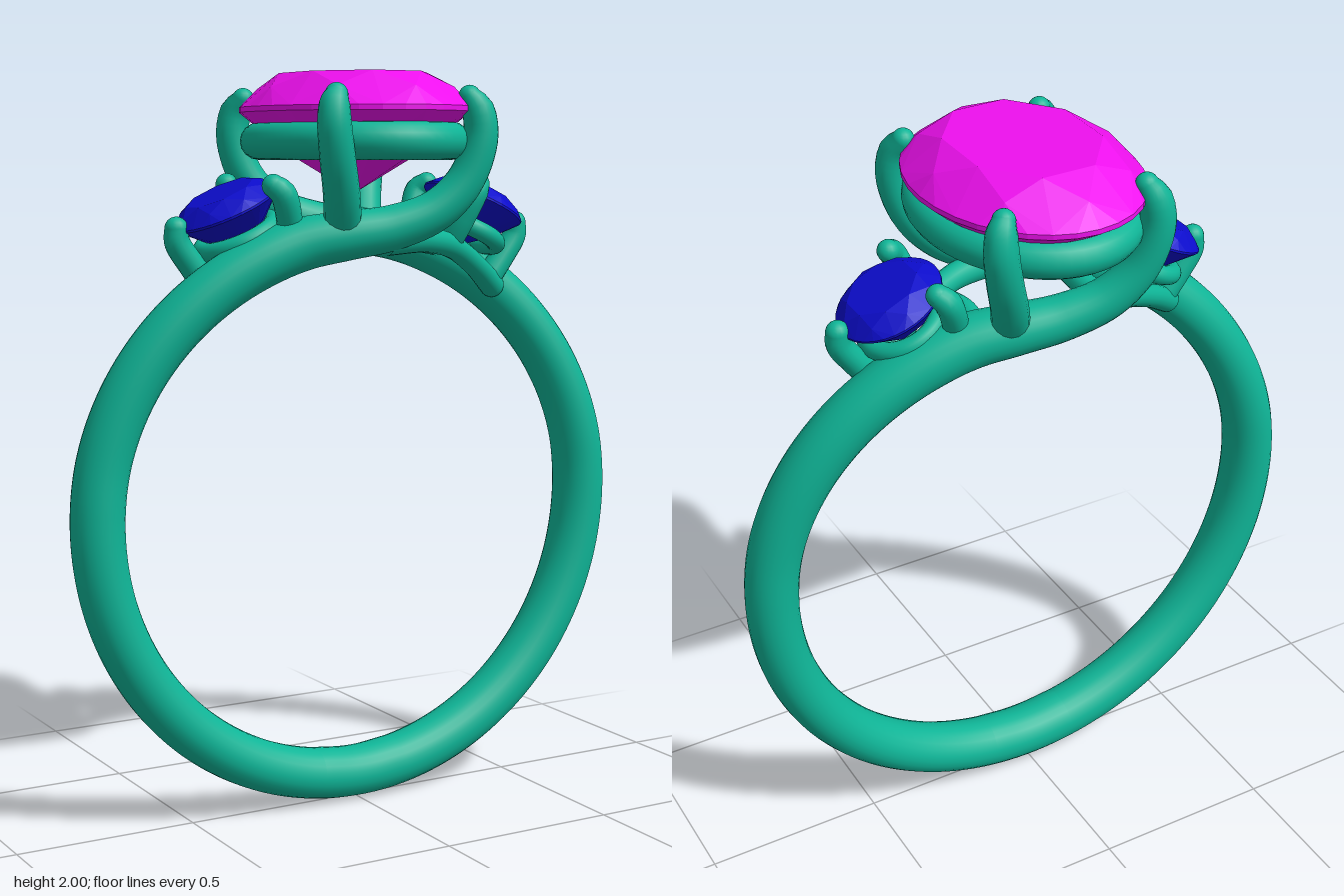
import * as THREE from 'three';
import { ConvexGeometry } from 'three/addons/geometries/ConvexGeometry.js';

const metal = new THREE.MeshStandardMaterial({ color: 0x0fb597 });
const pink = new THREE.MeshStandardMaterial({ color: 0xee10ee, flatShading: true });
const blue = new THREE.MeshStandardMaterial({ color: 0x0c0ccc, flatShading: true });

// Round wire through [x, y, z, radius] points, radius varying along its length
function wire(name, pts, { steps = 40, sides = 16, zScale = 1, closed = false } = {}) {
  const curve = new THREE.CatmullRomCurve3(pts.map(p => new THREE.Vector3(p[0], p[1], p[2])), closed);
  const geo = new THREE.TubeGeometry(curve, steps, 1, sides, closed);
  const pos = geo.attributes.position, v = new THREE.Vector3();
  const spans = closed ? pts.length : pts.length - 1;
  for (let i = 0; i <= steps; i++) {
    const u = i / steps, c = curve.getPointAt(u);
    const s = curve.getUtoTmapping(u) * spans, k = Math.min(Math.floor(s), spans - 1);
    const r = THREE.MathUtils.lerp(pts[k][3], pts[(k + 1) % pts.length][3], s - k);
    for (let j = 0; j <= sides; j++) {
      const n = i * (sides + 1) + j;
      v.fromBufferAttribute(pos, n).sub(c).multiplyScalar(r);
      v.z *= THREE.MathUtils.lerp(1, zScale, THREE.MathUtils.smoothstep(r, 0.055, 0.07));
      pos.setXYZ(n, c.x + v.x, c.y + v.y, c.z + v.z);
    }
  }
  const mesh = new THREE.Mesh(geo, metal);
  mesh.name = name;
  // rounded end
  if (!closed) {
    const [x, y, z, r] = pts[pts.length - 1];
    const tip = new THREE.Mesh(new THREE.SphereGeometry(r, 16, 12), metal);
    tip.name = name + 'Tip';
    tip.position.set(x, y, z);
    mesh.add(tip);
  }
  return mesh;
}

// Flat elliptical rail
function rail(name, rx, rz, r) {
  const pts = [];
  for (let i = 0; i < 24; i++) {
    const a = i * Math.PI / 12;
    pts.push([rx * Math.cos(a), 0, rz * Math.sin(a), r]);
  }
  return wire(name, pts, { steps: 64, closed: true });
}

// Brilliant-cut stone with its girdle at y = 0
function gem(name, rx, rz, crown, depth, material) {
  const pts = [];
  const ring = (n, r, y, turn) => {
    for (let i = 0; i < n; i++) {
      const a = (i + turn) * 2 * Math.PI / n;
      pts.push(new THREE.Vector3(rx * r * Math.cos(a), y, rz * r * Math.sin(a)));
    }
  };
  ring(8, 0.66, crown, 0.5);
  ring(8, 0.86, crown * 0.56, 0);
  ring(32, 1, 0, 0);
  ring(32, 1, -crown * 0.15, 0);
  ring(8, 0.55, -depth * 0.56, 0.5);
  pts.push(new THREE.Vector3(0, -depth, 0));
  const mesh = new THREE.Mesh(new ConvexGeometry(pts), material);
  mesh.name = name;
  return mesh;
}

// Half of the ring: a shank that sweeps past the centre and ends as a prong, with one side stone
function half() {
  const g = new THREE.Group();

  const path = [];
  for (let deg = -10; deg <= 162; deg += 8.6) {
    const a = deg * Math.PI / 180;
    const t = Math.max(0, (deg - 98) / 64);
    path.push([-0.76 * Math.sin(a), 0.83 - 0.76 * Math.cos(a), 0.135 * Math.pow(t, 1.6), 0.07]);
  }
  path.push(
    [-0.12, 1.575, 0.175, 0.065], [0, 1.595, 0.21, 0.06], [0.11, 1.64, 0.245, 0.055],
    [0.185, 1.72, 0.27, 0.05], [0.22, 1.83, 0.285, 0.047], [0.215, 1.9, 0.28, 0.043], [0.2, 1.935, 0.262, 0.03]);
  g.add(wire('shank', path, { steps: 150, sides: 24, zScale: 1.15 }));

  // second claw on the same shank
  g.add(wire('centreProng', [
    [-0.13, 1.58, 0.17, 0.05], [-0.17, 1.68, 0.235, 0.048], [-0.205, 1.78, 0.275, 0.046],
    [-0.22, 1.86, 0.287, 0.044], [-0.215, 1.91, 0.278, 0.04], [-0.2, 1.935, 0.262, 0.03]]));

  // bridge under the side stone, from the front of this shank to the opposite shank
  g.add(wire('bridge', [
    [-0.02, 1.565, 0.2, 0.045], [0.12, 1.56, 0.165, 0.035], [0.25, 1.535, 0.105, 0.032],
    [0.36, 1.48, 0.05, 0.032], [0.45, 1.42, 0, 0.035]]));
  g.add(wire('crossBar', [[0.19, 1.545, 0.13, 0.032], [0.17, 1.555, 0, 0.032], [0.19, 1.545, -0.13, 0.032]]));

  // side setting
  const side = new THREE.Group();
  side.name = 'sideSetting';
  const stone = gem('sideStone', 0.145, 0.145, 0.04, 0.13, blue);
  const seat = rail('sideRail', 0.1, 0.105, 0.026);
  seat.position.y = -0.085;
  side.add(stone, seat);
  side.position.set(0.385, 1.65, 0);
  side.rotation.z = -0.44;
  g.add(side);
  for (const s of [1, -1]) {
    g.add(wire('sideInnerProng', [
      [0.24, 1.53, 0.09 * s, 0.033], [0.265, 1.61, 0.13 * s, 0.034],
      [0.295, 1.685, 0.15 * s, 0.035], [0.315, 1.705, 0.135 * s, 0.03]], { steps: 20 }));
  }
  g.add(wire('sideOuterProng', [
    [0.43, 1.43, 0, 0.036], [0.485, 1.5, 0, 0.035], [0.525, 1.56, 0, 0.034], [0.527, 1.595, 0, 0.031]], { steps: 20 }));
  return g;
}

export function createModel() {
  const model = new THREE.Group();
  model.name = 'threeStoneRing';

  // two identical halves, half a turn apart
  ['firstHalf', 'secondHalf'].forEach((name, i) => {
    const h = half();
    h.name = name;
    h.rotation.y = i * Math.PI;
    model.add(h);
  });

  // centre stone and the rail beneath it
  const centre = gem('centreStone', 0.29, 0.37, 0.09, 0.23, pink);
  centre.position.y = 1.91;
  const gallery = rail('galleryRail', 0.238, 0.318, 0.05);
  gallery.position.y = 1.82;
  model.add(centre, gallery);
  return model;
}
